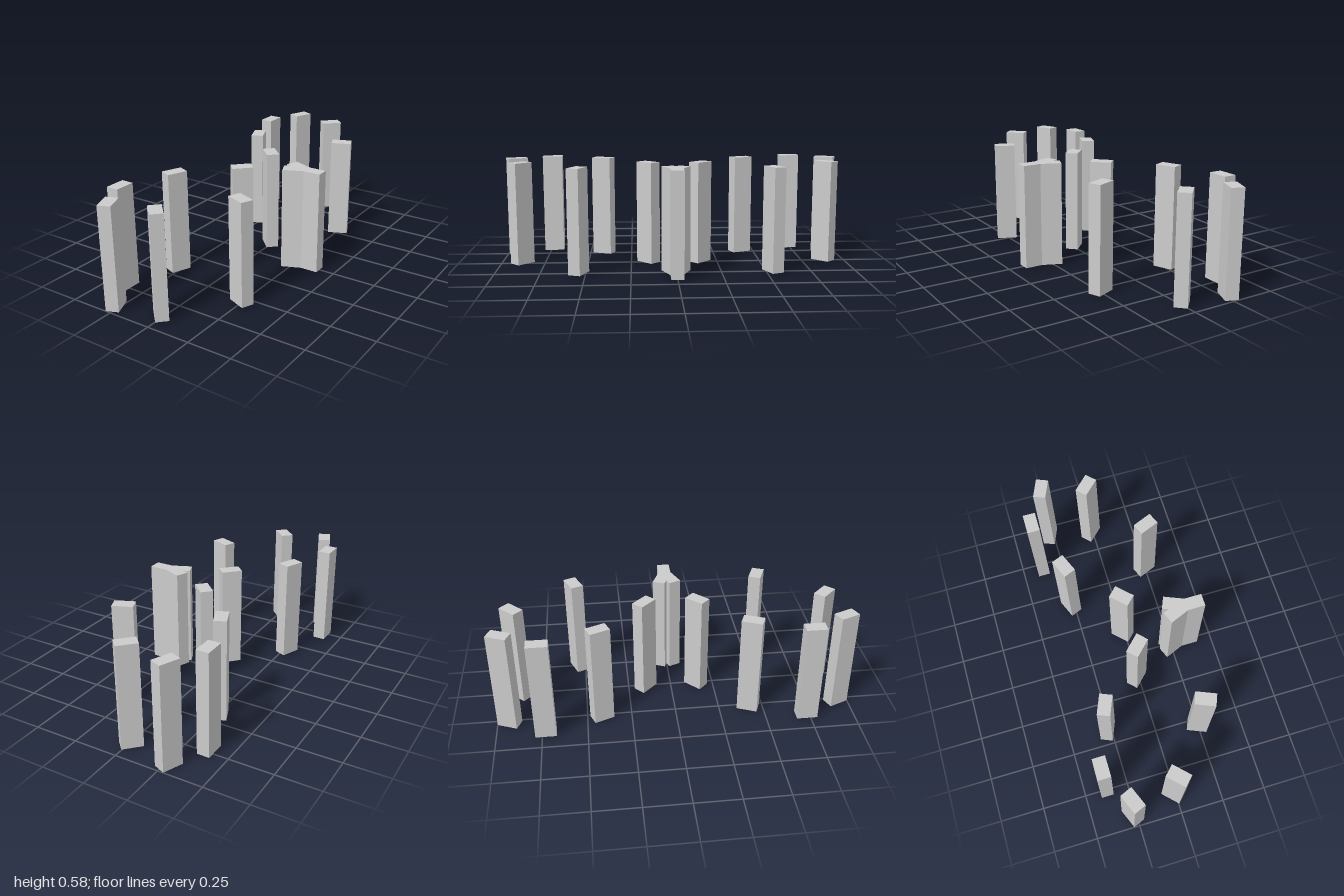
import * as THREE from 'three';

const HEIGHT = 0.585;

export function createModel() {
  const model = new THREE.Group();
  const material = new THREE.MeshStandardMaterial({ color: 0xcccccc, flatShading: true });
  const slab = new THREE.BoxGeometry(0.071, HEIGHT, 0.116);

  // Upright slab, turned about the vertical axis
  function addSlab(name, x, z, degrees) {
    const mesh = new THREE.Mesh(slab, material);
    mesh.name = name;
    mesh.position.set(x, HEIGHT / 2, z);
    mesh.rotation.y = THREE.MathUtils.degToRad(degrees);
    model.add(mesh);
  }

  // One ring of standing slabs: x, distance from the middle, turn
  const ring = [
    [0.245, 0.538, 67.5],
    [-0.013, 0.88, 45],
    [-0.271, 0.932, 22.5],
    [-0.378, 0.73, 0],
    [-0.271, 0.417, -22.5],
    [-0.013, 0.15, -45],
    [0.245, 0.025, -67.5],
  ];

  // Mirror the ring front to back
  for (const side of [1, -1]) {
    const label = side > 0 ? 'frontRingSlab' : 'backRingSlab';
    ring.forEach(([x, z, turn], i) => addSlab(label + (i + 1), x, side * z, side * turn));
  }

  // Slab shared by both rings where they meet
  addSlab('sharedSlab', 0.353, 0, 90);

  return model;
}
